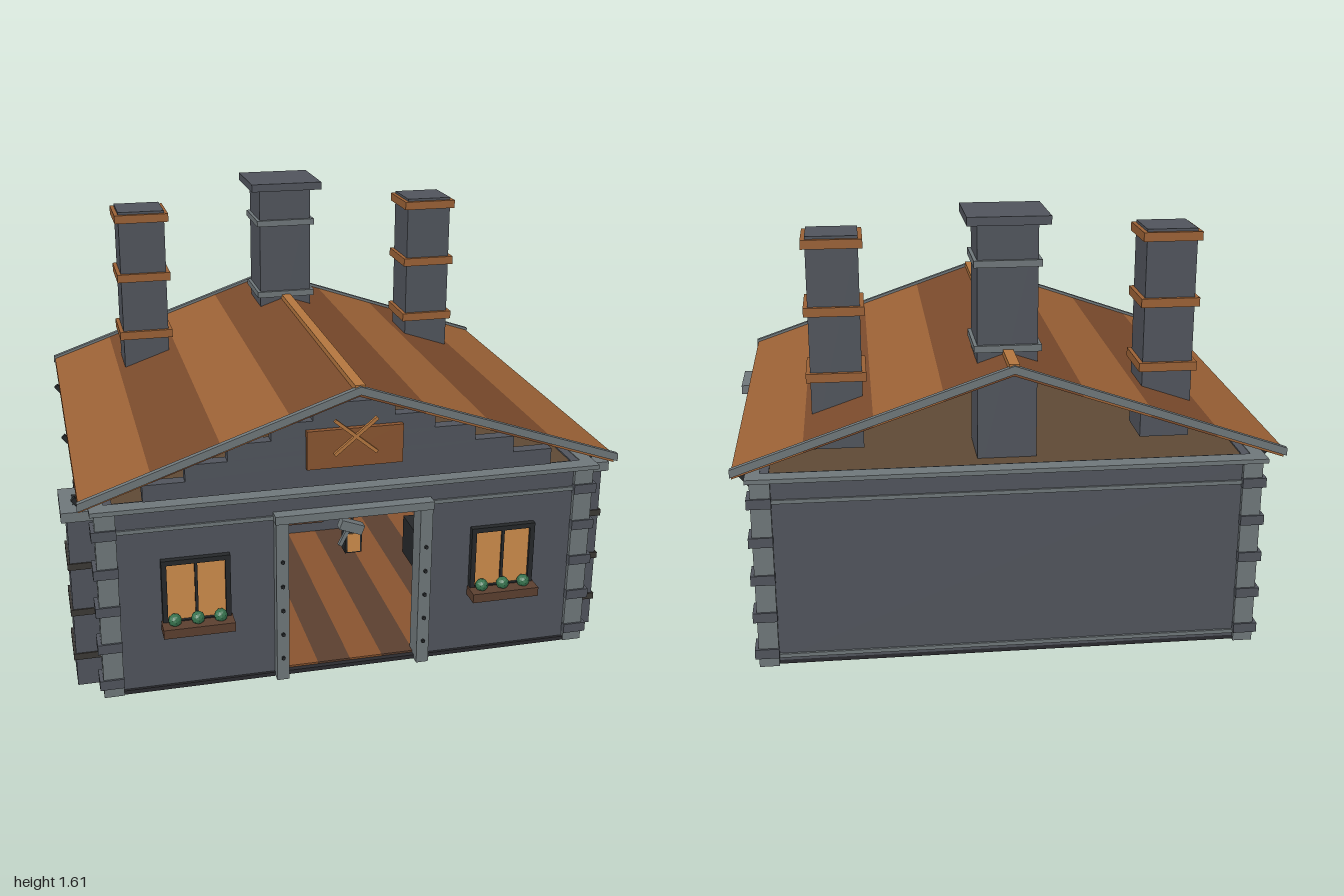
import * as THREE from 'three';

const C = {
  stone: 0x51555d, light: 0x70787b, dark: 0x3c4247, iron: 0x25282a, base: 0x2b2b2f,
  roofA: 0x9c6236, roofB: 0x7b4b2c, wood: 0x8a5530, tan: 0xb5773f, glass: 0xcf8d4c,
  strap: 0x3c3935, planter: 0x5c4030, green: 0x35704c, attic: 0x5f4a35,
};
const mats = {};
const mat = (c) => (mats[c] ??= new THREE.MeshStandardMaterial({ color: C[c], flatShading: true }));

export function createModel() {
  const root = new THREE.Group();
  root.name = 'smithy';

  const mesh = (parent, name, geo, color) => {
    const m = new THREE.Mesh(geo, mat(color));
    m.name = name;
    parent.add(m);
    return m;
  };
  // box given by its limits on each axis
  const box = (name, color, x0, x1, y0, y1, z0, z1, parent = root) => {
    const m = mesh(parent, name, new THREE.BoxGeometry(x1 - x0, y1 - y0, z1 - z0), color);
    m.position.set((x0 + x1) / 2, (y0 + y1) / 2, (z0 + z1) / 2);
    return m;
  };
  // box centred on a point
  const block = (name, color, x, y, z, w, h, d, parent = root) =>
    box(name, color, x - w / 2, x + w / 2, y - h / 2, y + h / 2, z - d / 2, z + d / 2, parent);
  // square bar between two points
  const bar = (name, color, a, b, t, parent = root) => {
    const p = new THREE.Vector3(...a), q = new THREE.Vector3(...b);
    const m = mesh(parent, name, new THREE.BoxGeometry(t, t, p.distanceTo(q)), color);
    m.position.copy(p).add(q).multiplyScalar(0.5);
    m.lookAt(q);
    return m;
  };

  // base, plank floor, attic floor
  box('base', 'base', -0.88, 0.88, 0.03, 0.045, -0.71, 0.72);
  for (let i = 0; i < 14; i++) {
    const x = -0.84 + i * 0.12;
    box('floorPlank', i % 2 ? 'wood' : 'planter', x, x + 0.12, 0.045, 0.052, -0.68, 0.7);
  }
  box('atticFloor', 'attic', -0.85, 0.85, 0.725, 0.74, -0.69, 0.69);

  // walls, the front one with a doorway
  const front = new THREE.Shape([[-0.87, 0.03], [-0.24, 0.03], [-0.24, 0.65], [0.24, 0.65], [0.24, 0.03],
    [0.87, 0.03], [0.87, 0.745], [-0.87, 0.745]].map((p) => new THREE.Vector2(...p)));
  const frontWall = mesh(root, 'frontWall', new THREE.ExtrudeGeometry(front, { depth: 0.04, bevelEnabled: false }), 'stone');
  frontWall.position.z = 0.67;
  box('backWall', 'stone', -0.87, 0.87, 0.03, 0.745, -0.71, -0.67);
  for (const s of [-1, 1]) block('sideWall', 'stone', s * 0.85, 0.3875, 0, 0.04, 0.715, 1.34);

  // horizontal trims around the walls
  for (const s of [-1, 1]) {
    block('topPlate', 'light', 0, 0.74, s * 0.71, 1.82, 0.016, 0.06);
    block('topPlate', 'light', s * 0.885, 0.74, 0, 0.05, 0.016, 1.36);
    for (const y of [0.065, 0.655]) {
      if (s < 0 || y > 0.5) block('endTrim', 'light', 0, y, s * 0.71, 1.7, 0.014, 0.016);
      block('sideTrim', 'light', s * 0.872, y, 0, 0.014, 0.014, 1.36);
    }
  }

  // corner posts with quoin blocks
  for (const sx of [-1, 1]) for (const sz of [-1, 1]) {
    block('cornerPost', 'light', sx * 0.86, 0.38, sz * 0.69, 0.07, 0.7, 0.07);
    for (let i = 0; i < 5; i++)
      block('quoin', 'stone', sx * 0.866, 0.083 + i * 0.143, sz * 0.69, 0.085, 0.036, 0.085);
  }

  // side flue pillars with straps and a capped slot
  for (const s of [-1, 1]) {
    block('pillar', 'stone', s * 0.925, 0.355, 0.53, 0.11, 0.65, 0.18);
    block('pillarCap', 'light', s * 0.937, 0.692, 0.53, 0.126, 0.036, 0.21);
    block('pillarSlot', 'iron', s * 0.94, 0.711, 0.53, 0.03, 0.003, 0.08);
    for (const y of [0.147, 0.322, 0.5]) block('pillarStrap', 'strap', s * 0.932, y, 0.53, 0.112, 0.024, 0.19);
    for (const z of [-0.59, 0, 0.59])
      bar('eaveBrace', 'iron', [s * 0.875, 0.645, z], [s * 0.955, 0.742, z], 0.018);
  }

  // windows, built facing +z
  const windowUnit = (w, h) => {
    const g = new THREE.Group();
    g.name = 'window';
    block('glass', 'glass', 0, 0, 0, w - 0.03, h - 0.03, 0.012, g);
    for (const s of [-1, 1]) {
      block('frameSide', 'iron', s * (w / 2 - 0.009), 0, 0.004, 0.018, h, 0.026, g);
      block('frameRail', 'iron', 0, s * (h / 2 - 0.009), 0.004, w, 0.018, 0.026, g);
    }
    block('mullion', 'iron', 0, 0, 0.004, 0.01, h, 0.02, g);
    root.add(g);
    return g;
  };
  for (const s of [-1, 1]) {
    windowUnit(0.24, 0.25).position.set(s * 0.56, 0.415, 0.715);
    block('planter', 'planter', s * 0.56, 0.287, 0.75, 0.25, 0.034, 0.07);
    for (const d of [-0.08, 0, 0.08])
      mesh(root, 'bush', new THREE.IcosahedronGeometry(0.024, 1), 'green').position.set(s * 0.56 + d, 0.318, 0.745);
    for (const z of [0.235, -0.355]) {
      const g = windowUnit(0.22, 0.25);
      g.position.set(s * 0.874, 0.43, z);
      g.rotation.y = s * Math.PI / 2;
    }
  }

  // door frame with rivets
  for (const s of [-1, 1]) {
    block('doorPost', 'light', s * 0.26, 0.345, 0.71, 0.045, 0.63, 0.08);
    for (let i = 0; i < 5; i++) {
      const r = mesh(root, 'rivet', new THREE.CylinderGeometry(0.007, 0.007, 0.012, 6), 'iron');
      r.rotation.x = Math.PI / 2;
      r.position.set(s * 0.26, 0.12 + i * 0.095, 0.753);
    }
  }
  box('lintel', 'light', -0.285, 0.285, 0.645, 0.675, 0.67, 0.755);

  // hanging lantern and hammer in the doorway
  block('lantern', 'iron', 0, 0.54, 0.7, 0.06, 0.09, 0.05);
  block('lanternGlow', 'glass', 0, 0.535, 0.7, 0.045, 0.07, 0.056);
  bar('lanternHook', 'iron', [0, 0.58, 0.7], [0, 0.65, 0.7], 0.008);
  bar('hammerHead', 'light', [-0.05, 0.615, 0.725], [0.03, 0.585, 0.725], 0.035);
  bar('hammerHandle', 'light', [-0.015, 0.6, 0.725], [-0.05, 0.53, 0.725], 0.014);

  // forge against the back wall, hood and tool rack
  box('forgeBase', 'stone', -0.27, 0.27, 0.05, 0.38, -0.66, -0.36);
  box('forgeMouth', 'dark', -0.15, 0.15, 0.11, 0.32, -0.37, -0.352);
  box('forgeHood', 'dark', -0.18, 0.18, 0.38, 0.63, -0.62, -0.37);
  box('toolRail', 'planter', -0.15, 0.15, 0.11, 0.125, -0.355, -0.32);
  for (let i = -2; i <= 2; i++) {
    block('tool', 'iron', i * 0.056, 0.165, -0.335, 0.01, 0.1, 0.01);
    block('toolFoot', 'wood', i * 0.056, 0.13, -0.335, 0.025, 0.018, 0.025);
  }

  // anvil on a stump, and a work bench
  const stump = mesh(root, 'stump', new THREE.CylinderGeometry(0.08, 0.085, 0.16, 16), 'iron');
  stump.scale.x = 0.78;
  stump.position.set(-0.47, 0.08, 0);
  block('anvilFoot', 'dark', -0.47, 0.172, 0, 0.08, 0.024, 0.09);
  block('anvilWaist', 'dark', -0.47, 0.2, 0, 0.05, 0.04, 0.06);
  block('anvilTop', 'dark', -0.47, 0.235, 0, 0.16, 0.04, 0.075);
  const horn = mesh(root, 'anvilHorn', new THREE.ConeGeometry(0.03, 0.09, 8), 'dark');
  horn.rotation.z = -Math.PI / 2;
  horn.position.set(-0.35, 0.235, 0);
  box('bench', 'iron', 0.44, 0.62, 0.029, 0.22, -0.08, 0.11);

  // roof strips following the slope, extruded along z
  const roofY = (x) => 1.135 - 0.345 * Math.abs(x);
  const slope = (name, color, x0, x1, top, thick, z0, z1) => {
    const pts = [[x0, roofY(x0) + top - thick], [x1, roofY(x1) + top - thick], [x1, roofY(x1) + top], [x0, roofY(x0) + top]];
    const shape = new THREE.Shape(pts.map((p) => new THREE.Vector2(...p)));
    mesh(root, name, new THREE.ExtrudeGeometry(shape, { depth: z1 - z0, bevelEnabled: false }), color).position.z = z0;
  };
  const edges = [0, 0.235, 0.47, 0.705, 0.945];
  for (const s of [-1, 1]) {
    for (let i = 0; i < 4; i++) {
      const [a, b] = [s * edges[i], s * edges[i + 1]].sort((p, q) => p - q);
      slope('roofStrip', i % 2 ? 'roofA' : 'roofB', a, b, -0.008, 0.03, -0.78, 0.775);
    }
    const [a, b] = s > 0 ? [0, 0.95] : [-0.95, 0];
    slope('bargeBoard', 'light', a, b, 0.003, 0.028, 0.775, 0.795);
    slope('bargeBoard', 'light', a, b, 0.003, 0.028, -0.8, -0.78);
  }
  box('ridge', 'tan', -0.018, 0.018, 1.115, 1.141, -0.79, 0.785);

  // stepped front gable with a crossed-stick board
  [0.73, 0.585, 0.44, 0.29, 0.145].forEach((w, i) =>
    box('gableStep', 'stone', -w, w, 0.76 + i * 0.06, 0.82 + i * 0.06, 0.67, 0.715));
  box('signBoard', 'wood', -0.17, 0.17, 0.83, 0.97, 0.71, 0.735);
  for (const s of [-1, 1])
    bar('crossedStick', 'tan', [s * -0.075, 0.88, 0.74], [s * 0.075, 1.005, 0.74], 0.012);

  // central chimney
  const cz = -0.495;
  block('mainChimney', 'stone', 0, 1.105, cz, 0.21, 0.95, 0.21);
  block('mainChimneyCap', 'stone', 0, 1.59, cz, 0.285, 0.03, 0.285);
  for (const y of [1.44, 1.143]) block('mainChimneyBand', 'light', 0, y, cz, 0.235, 0.024, 0.235);

  // side chimneys with wooden bands
  for (const s of [-1, 1]) {
    block('sideChimney', 'stone', s * 0.59, 1.143, -0.41, 0.18, 0.765, 0.18);
    for (const y of [1.5, 1.264, 1.028]) block('sideChimneyBand', 'roofA', s * 0.59, y, -0.41, 0.21, 0.032, 0.21);
  }
  return root;
}
